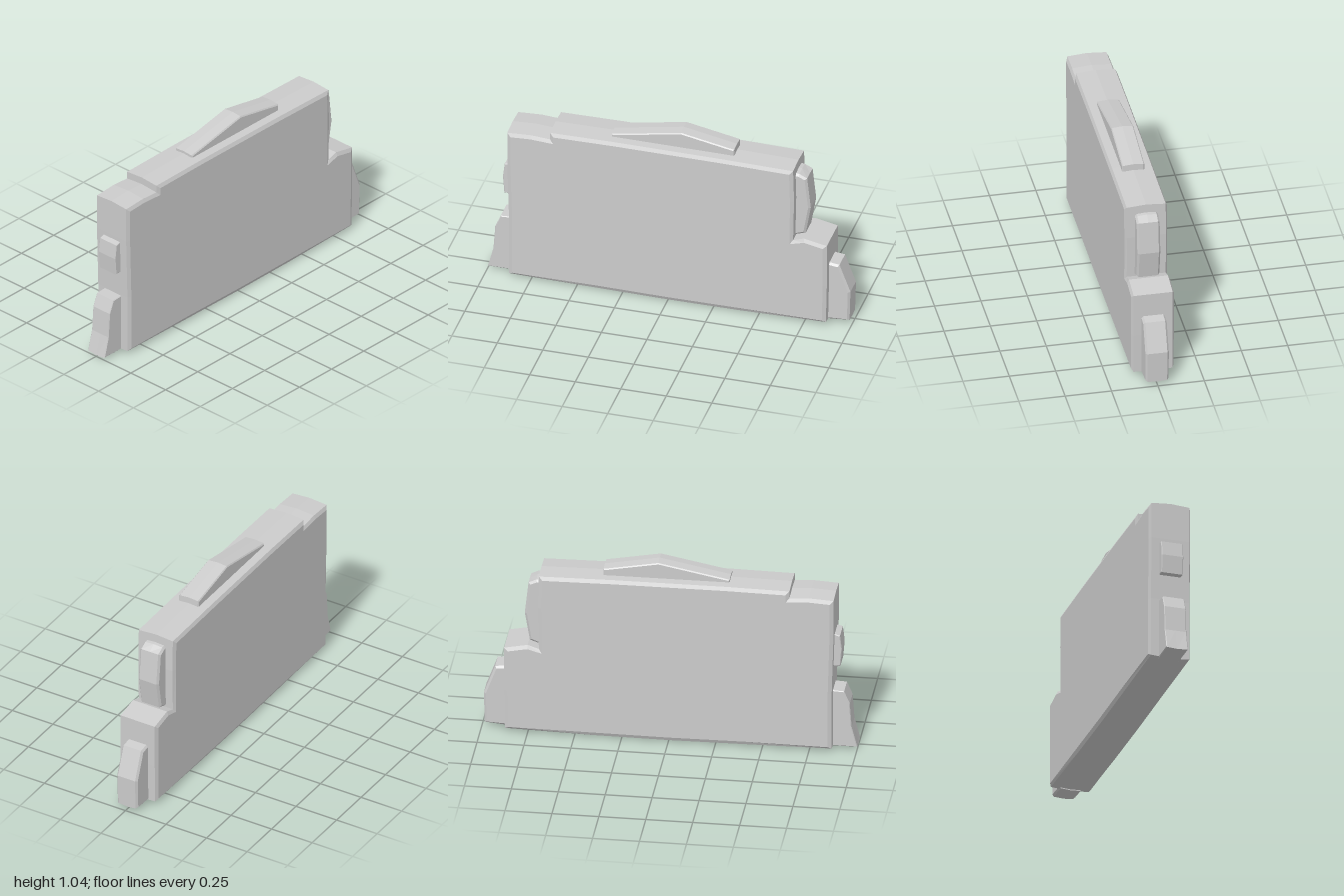
import * as THREE from 'three';

const material = new THREE.MeshStandardMaterial({ color: 0xcccccc, flatShading: true, side: THREE.DoubleSide });

// Upright slab: an x/y outline extruded along z with chamfered front and back edges
function slab(name, points, halfDepth, chamfer, chamferDepth) {
  const shape = new THREE.Shape(points.map(([x, y]) => new THREE.Vector2(x, y)));
  const depth = 2 * (halfDepth - chamferDepth);
  const geometry = new THREE.ExtrudeGeometry(shape, {
    depth, steps: 2, bevelEnabled: true, bevelSegments: 1,
    bevelSize: chamfer, bevelOffset: -chamfer, bevelThickness: chamferDepth,
  });
  geometry.translate(0, 0, -depth / 2);
  // Crown the top and bottom slightly along the centre line
  const p = geometry.attributes.position;
  for (let i = 0; i < p.count; i++) {
    const edge = Math.min(1, Math.abs(p.getZ(i)) / 0.1);
    const y = p.getY(i);
    if (y > 0.88) p.setY(i, y - 0.008 * edge);
    if (y < 0.03) p.setY(i, y + 0.008 * edge);
  }
  geometry.computeVertexNormals();
  const mesh = new THREE.Mesh(geometry, material);
  mesh.name = name;
  return mesh;
}

export function createModel() {
  const model = new THREE.Group();
  model.name = 'wallSegment';

  // Stepped wall body
  model.add(slab('wall', [
    [-0.87, 0.012], [-0.4, 0.006], [0, 0.002], [0.4, 0.004], [0.87, 0.014],
    [0.875, 0.25], [0.875, 0.5], [0.75, 0.525], [0.69, 0.505],
    [0.695, 0.75], [0.69, 0.945], [0.3, 0.951], [-0.3, 0.953], [-0.645, 0.949],
    [-0.645, 0.908], [-0.75, 0.915], [-0.88, 0.908], [-0.88, 0.7], [-0.87, 0.35],
  ], 0.115, 0.02, 0.01));

  // Buttresses on the end faces
  model.add(slab('lowerLeftButtress', [
    [0.85, 0.008], [0.985, 0.02], [0.99, 0.2], [0.93, 0.36], [0.85, 0.37],
  ], 0.063, 0.012, 0.01));
  model.add(slab('upperLeftButtress', [
    [0.66, 0.5], [0.745, 0.53], [0.772, 0.69], [0.752, 0.87], [0.71, 0.895], [0.66, 0.9],
  ], 0.062, 0.012, 0.01));
  model.add(slab('lowerRightButtress', [
    [-0.84, 0.01], [-1, 0.01], [-0.97, 0.13], [-0.96, 0.27], [-0.93, 0.34], [-0.84, 0.345],
  ], 0.06, 0.004, 0.004));
  model.add(slab('rightEndBlock', [
    [-0.84, 0.49], [-0.91, 0.49], [-0.918, 0.59], [-0.908, 0.67], [-0.84, 0.69],
  ], 0.06, 0.004, 0.004));

  // Peaked coping stone on top
  model.add(slab('copingStone', [
    [-0.32, 0.92], [0.355, 0.92], [0.352, 0.985], [0.06, 1.04], [-0.32, 0.967],
  ], 0.06, 0.006, 0.005));

  return model;
}
